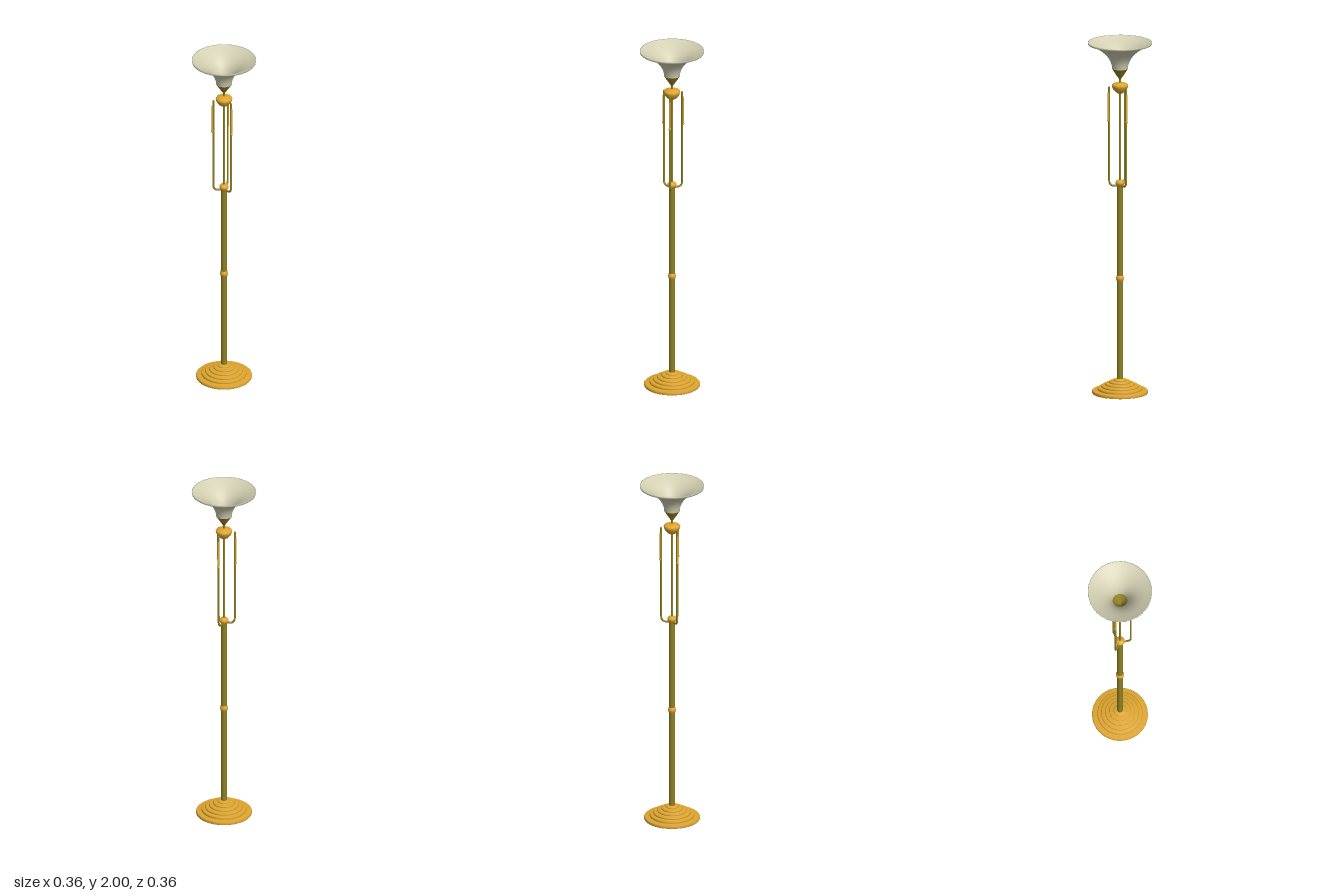
import * as THREE from 'three';

const mat = (color) => new THREE.MeshStandardMaterial({ color, side: THREE.DoubleSide });
const gold = mat(0xdea52f);
const brass = mat(0x8f8122);
const glass = mat(0xd2cfb2);

const v = (x, y, z = 0) => new THREE.Vector3(x, y, z);

export function createModel() {
  const lamp = new THREE.Group();
  lamp.name = 'floorLamp';

  const add = (name, geometry, material, parent = lamp) => {
    const mesh = new THREE.Mesh(geometry, material);
    mesh.name = name;
    parent.add(mesh);
    return mesh;
  };
  // Turned part from [radius, height] pairs
  const turned = (name, profile, material, sides = 32) =>
    add(name, new THREE.LatheGeometry(profile.map(([r, y]) => new THREE.Vector2(r, y)), sides), material);
  const rod = (name, radius, y0, y1, material, parent, x = 0) => {
    const mesh = add(name, new THREE.CylinderGeometry(radius, radius, y1 - y0, 16), material, parent);
    mesh.position.set(x, (y0 + y1) / 2, 0);
    return mesh;
  };

  // Hollow base: a stack of rounded steps
  const steps = [[0.155, 0], [0.125, 0.018], [0.105, 0.033], [0.083, 0.046], [0.06, 0.058], [0.036, 0.07]];
  const base = [];
  steps.forEach(([r, y], i) => {
    const top = i < steps.length - 1 ? steps[i + 1][1] : 0.08;
    base.push([r - 0.002, y], [r, y + 0.003], [r, top - 0.004], [r - 0.004, top]);
  });
  base.push([0.016, 0.082]);
  turned('base', base, gold, 40);

  // Pole and its collars
  rod('pole', 0.016, 0.07, 1.19, brass);
  turned('middleCollar', [[0.015, 0.637], [0.02, 0.64], [0.019, 0.645], [0.023, 0.65],
    [0.023, 0.657], [0.019, 0.662], [0.02, 0.667], [0.015, 0.67]], gold, 24);
  turned('upperCollar', [[0.015, 1.178], [0.02, 1.184], [0.026, 1.195], [0.026, 1.203],
    [0.02, 1.211], [0.008, 1.216], [0, 1.216]], gold, 24);
  rod('centreRod', 0.006, 1.2, 1.73, brass);

  // Three arms curving out of the pole, each with a hanging drop
  const armPath = new THREE.CurvePath();
  armPath.add(new THREE.LineCurve3(v(0.01, 1.183), v(0.034, 1.183)));
  armPath.add(new THREE.CubicBezierCurve3(v(0.034, 1.183), v(0.05, 1.183), v(0.06, 1.195), v(0.06, 1.213)));
  armPath.add(new THREE.LineCurve3(v(0.06, 1.213), v(0.06, 1.745)));
  const armGeometry = new THREE.TubeGeometry(armPath, 120, 0.0055, 10);
  for (let i = 0; i < 3; i++) {
    const arm = new THREE.Group();
    arm.name = 'arm' + (i + 1);
    arm.rotation.y = Math.PI / 3 + i * Math.PI * 2 / 3;
    add('armTube', armGeometry, brass, arm);
    add('armTip', new THREE.SphereGeometry(0.0055, 10, 8), brass, arm).position.set(0.06, 1.745, 0);
    rod('drop', 0.005, 1.555, 1.715, gold, arm, 0.064);
    add('dropBead', new THREE.SphereGeometry(0.0075, 12, 8), gold, arm).position.set(0.065, 1.555, 0);
    lamp.add(arm);
  }

  // Cup under the shade
  turned('cup', [[0, 1.705], [0.01, 1.708], [0.026, 1.718], [0.038, 1.732], [0.045, 1.748],
    [0.046, 1.756], [0.042, 1.763], [0.026, 1.769], [0.009, 1.772], [0, 1.772]], gold);
  rod('neck', 0.005, 1.765, 1.8, brass);

  // Open cone holder and flared glass shade
  turned('shadeHolder', [[0.004, 1.788], [0.045, 1.85]], brass);
  turned('shade', [[0.043, 1.848], [0.046, 1.868], [0.053, 1.89], [0.065, 1.912], [0.083, 1.934],
    [0.107, 1.955], [0.136, 1.973], [0.163, 1.985], [0.178, 1.99], [0.179, 2], [0.175, 1.998],
    [0.161, 1.989], [0.133, 1.976], [0.104, 1.957], [0.08, 1.936], [0.062, 1.913],
    [0.05, 1.89], [0.043, 1.867], [0.041, 1.848]], glass);

  return lamp;
}
